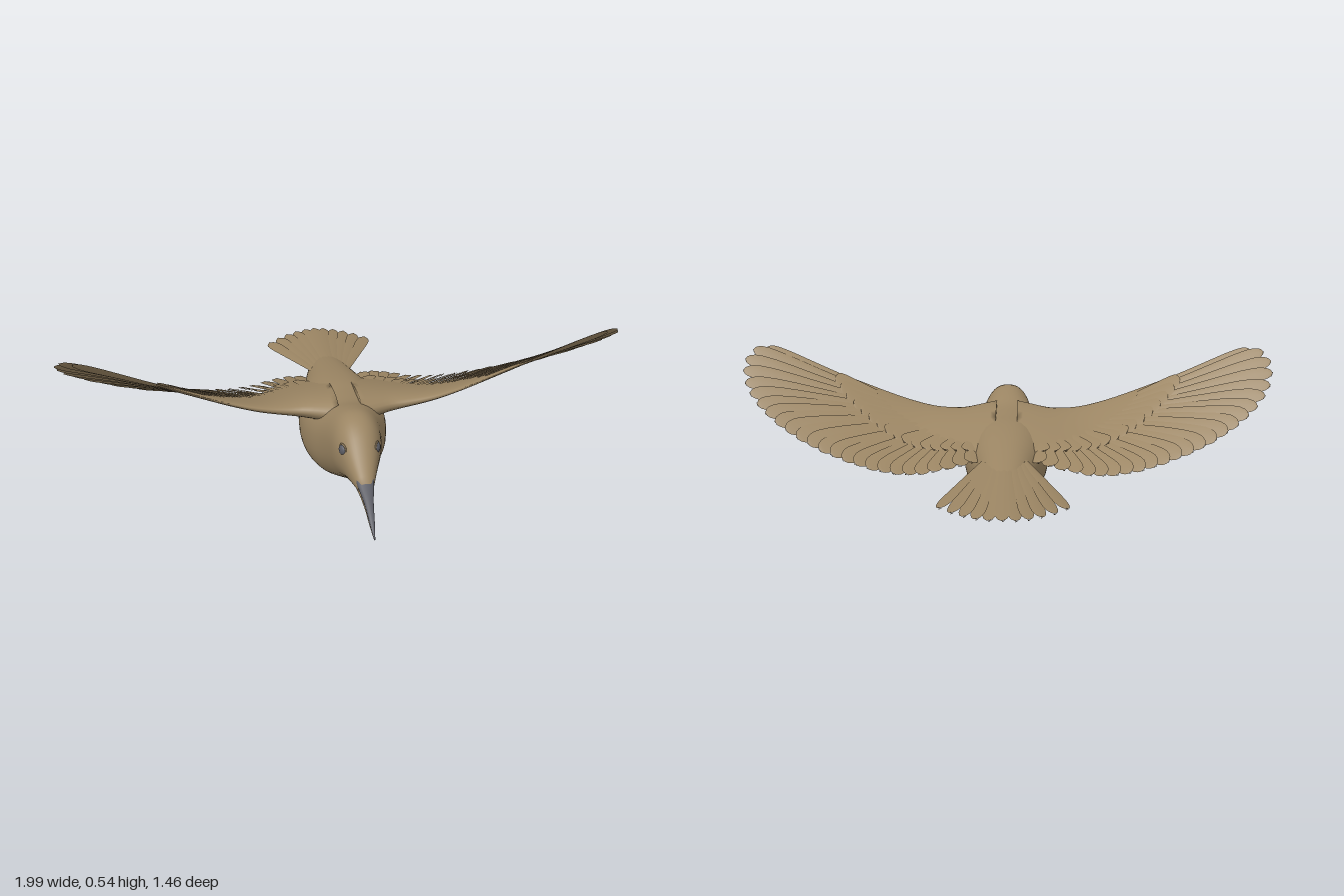
import * as THREE from 'three';
import { mergeGeometries } from 'three/addons/utils/BufferGeometryUtils.js';

const plumage = new THREE.MeshStandardMaterial({ name: 'tan plumage', color: 0x9b8563 });
const slate = new THREE.MeshStandardMaterial({ name: 'slate grey', color: 0x5b5c64 });

// Smooth interpolation through rows of [position, value, value...]
function spline(rows) {
  const n = rows[0].length - 1;
  const c = new THREE.CubicInterpolant(rows.map(r => r[0]), rows.flatMap(r => r.slice(1)), n);
  return t => [...c.evaluate(t)];
}

function indexed(pos, idx) {
  const g = new THREE.BufferGeometry();
  g.setAttribute('position', new THREE.Float32BufferAttribute(pos, 3));
  g.setIndex(idx);
  g.computeVertexNormals();
  return g;
}

// Skin a row of closed rings, smooth all round, with flat end caps
function loft(rings) {
  const m = rings[0].length, last = (rings.length - 1) * m, idx = [];
  for (let i = 0; i < rings.length - 1; i++) {
    for (let j = 0; j < m; j++) {
      const a = i * m + j, b = i * m + (j + 1) % m;
      idx.push(a, b, b + m, a, b + m, a + m);
    }
  }
  for (let j = 1; j < m - 1; j++) idx.push(0, j + 1, j, last, last + j, last + j + 1);
  return indexed(rings.flat(2), idx);
}

// Slightly squared elliptical rings along z from a profile giving [top, bottom, half width]
const full = v => Math.sign(v) * Math.abs(v) ** 0.9;
function ellipseLoft(profile, z0, z1, steps, sides) {
  const rings = [];
  for (let i = 0; i <= steps; i++) {
    const z = z0 + (z1 - z0) * i / steps, [top, bottom, w] = profile(z), ring = [];
    for (let j = 0; j < sides; j++) {
      const a = j / sides * Math.PI * 2;
      ring.push([w * full(Math.cos(a)), (top + bottom) / 2 + (top - bottom) / 2 * full(Math.sin(a)), z]);
    }
    rings.push(ring);
  }
  return loft(rings);
}

// One thin, ridged, round-ended feather lying on the height field h(x, z)
const STEPS = [0, 0.2, 0.4, 0.6, 0.75, 0.86, 0.92, 0.96, 0.985, 1];
function feather(base, tip, width, h, lift, tilt) {
  const d = tip.clone().sub(base).normalize(), sheets = [];
  for (const side of [1, -1]) {
    const pos = [], idx = [];
    STEPS.forEach((s, i) => {
      const round = s > 0.86 ? Math.sqrt(Math.max(0, 1 - ((s - 0.86) / 0.14) ** 2)) : 1;
      const w = width * (0.5 + 0.5 * Math.min(1, s * 1.3)) * round;
      const p = base.clone().lerp(tip, s);
      for (const j of [-1, 0, 1]) {
        const x = p.x - d.y * w * j, z = p.y + d.x * w * j;
        pos.push(x, h(x, z) + lift + tilt * j * w / width + side * (j ? 0.0008 : 0.004), z);
      }
      if (i === STEPS.length - 1) return;
      for (const j of [0, 1]) {
        const a = i * 3 + j, b = a + 1, c = a + 4, e = a + 3;
        if (side > 0) idx.push(a, b, c, a, c, e);
        else idx.push(a, c, b, a, e, c);
      }
    });
    sheets.push(indexed(pos, idx));
  }
  return mergeGeometries(sheets);
}

// A row of feathers between two curves in the x-z plane, widths given along the row
function featherRow(basePts, tipPts, count, width, h, lift, tilt) {
  const curve = pts => new THREE.SplineCurve(pts.map(p => new THREE.Vector2(...p))).getSpacedPoints(count - 1);
  const bases = curve(basePts), tips = curve(tipPts);
  return mergeGeometries(bases.map((b, i) =>
    feather(b, tips[i], width(i / (count - 1)), h, lift + (i % 2) * 0.0015, tilt)));
}

function mirrored(geometry) {
  const g = geometry.clone().scale(-1, 1, 1), a = g.index.array;
  for (let i = 0; i < a.length; i += 3) [a[i + 1], a[i + 2]] = [a[i + 2], a[i + 1]];
  g.computeVertexNormals();
  return g;
}

export function createModel() {
  const model = new THREE.Group();
  model.name = 'bird';
  const add = (name, geometry, material, parent = model) => {
    const mesh = new THREE.Mesh(geometry, material);
    mesh.name = name;
    parent.add(mesh);
  };

  // Head and body in one smooth skin: z, top, bottom, half width
  const bodyProfile = spline([
    [-0.52, 0.206, 0.196, 0.003], [-0.5, 0.213, 0.188, 0.016], [-0.4, 0.234, 0.153, 0.055],
    [-0.3, 0.256, 0.119, 0.085], [-0.2, 0.277, 0.078, 0.11], [-0.1, 0.295, 0.037, 0.137],
    [0, 0.307, 0.008, 0.155], [0.1, 0.311, 0, 0.156], [0.2, 0.32, 0.02, 0.137],
    [0.28, 0.342, 0.056, 0.11], [0.35, 0.354, 0.092, 0.092], [0.4, 0.343, 0.12, 0.082],
    [0.45, 0.312, 0.14, 0.066], [0.507, 0.256, 0.153, 0.046], [0.57, 0.203, 0.158, 0.024],
  ]);
  add('body', ellipseLoft(bodyProfile, -0.52, 0.57, 56, 40), plumage);

  // Beak, drooping slightly towards the tip
  const beak = spline([
    [0.52, 0.235, 0.16, 0.036], [0.57, 0.201, 0.155, 0.026], [0.62, 0.172, 0.135, 0.016],
    [0.68, 0.132, 0.108, 0.009], [0.73, 0.092, 0.086, 0.002],
  ]);
  const part = (from, to, widen) => z => {
    const [t, b, w] = beak(z);
    return [b + (t - b) * to, b + (t - b) * from, w * widen];
  };
  add('upperBeak', ellipseLoft(part(0.38, 1, 1), 0.535, 0.73, 14, 20), slate);
  add('lowerBeak', ellipseLoft(part(0, 0.7, 0.97), 0.52, 0.725, 14, 20), plumage);

  // Eyes with a soft lid ring
  for (const s of [1, -1]) {
    const eye = new THREE.Group();
    eye.name = s > 0 ? 'leftEye' : 'rightEye';
    eye.position.set(s * 0.058, 0.264, 0.445);
    eye.rotation.y = s * 1.15;
    add('eyeball', new THREE.SphereGeometry(0.019, 20, 14).scale(1, 1, 0.6), slate, eye);
    add('eyelid', new THREE.TorusGeometry(0.021, 0.003, 8, 24), plumage, eye);
    model.add(eye);
  }

  // Wing surface: leading edge height and the slope back from it, steeper towards the tip
  const wingCurve = spline([
    [0, 0.285, 0.11], [0.2, 0.293, 0.18], [0.33, 0.316, 0.29],
    [0.65, 0.43, 0.52], [0.93, 0.525, 0.68], [1.05, 0.55, 0.74],
  ]);
  const wingHeight = (x, z) => {
    const [lead, slope] = wingCurve(x);
    return lead - slope * (0.205 - z);
  };

  // Wing arm, an airfoil swelling into the shoulder: x, rear edge, front edge, thickness
  const armProfile = spline([
    [0.04, -0.17, 0.265, 0.07], [0.1, -0.15, 0.235, 0.062], [0.16, -0.135, 0.21, 0.05],
    [0.22, -0.115, 0.205, 0.038], [0.35, -0.06, 0.208, 0.023], [0.5, 0.02, 0.211, 0.014],
    [0.6, 0.1, 0.212, 0.01], [0.66, 0.185, 0.213, 0.005],
  ]);
  const rings = [];
  for (let i = 0; i <= 30; i++) {
    const x = 0.04 + 0.62 * i / 30, [rear, front, thick] = armProfile(x), ring = [];
    for (let j = 0; j < 28; j++) {
      const a = j / 28 * Math.PI * 2, u = (Math.sin(a) + 1) / 2, z = rear + (front - rear) * u;
      ring.push([x, wingHeight(x, z) + Math.cos(a) * thick * (0.3 + 0.7 * u), z]);
    }
    rings.push(ring);
  }

  // Slim, separated primaries give way to broad secondaries
  const wingParts = {
    arm: loft(rings),
    flightFeathers: featherRow(
      [[0.56, 0.19], [0.54, 0.13], [0.47, 0.08], [0.36, 0.03], [0.24, 0], [0.11, -0.02]],
      [[0.93, 0.212], [0.98, 0.19], [0.998, 0.125], [0.96, 0.03], [0.86, -0.06], [0.7, -0.14],
        [0.5, -0.21], [0.32, -0.245], [0.2, -0.25], [0.12, -0.225]],
      25, t => 0.019 + 0.01 * THREE.MathUtils.smoothstep(t, 0.15, 0.45), wingHeight, 0, 0.009),
    coverts: featherRow(
      [[0.5, 0.17], [0.42, 0.09], [0.32, 0.04], [0.2, 0], [0.1, -0.02]],
      [[0.66, 0.175], [0.61, 0.11], [0.5, 0.015], [0.39, -0.06], [0.27, -0.115], [0.14, -0.15]],
      16, () => 0.027, wingHeight, 0.009, 0.005),
  };
  for (const s of [1, -1]) {
    const wing = new THREE.Group();
    wing.name = s > 0 ? 'leftWing' : 'rightWing';
    for (const [name, g] of Object.entries(wingParts)) add(name, s > 0 ? g : mirrored(g), plumage, wing);
    model.add(wing);
  }

  // Tail fan, highest along the middle
  const tailHeight = (x, z) => 0.203 + 0.08 * (z + 0.72) - 0.15 * x * x;
  const tail = [];
  for (let i = -5; i <= 5; i++) {
    const u = i / 5;
    const base = new THREE.Vector2(0.065 * u, -0.24), tip = new THREE.Vector2(0.204 * u, -0.73 + 0.115 * u * u);
    tail.push(feather(base, tip, 0.025, tailHeight, 0.008 * (1 - Math.abs(u)), -0.004 * Math.sign(u)));
  }
  add('tail', mergeGeometries(tail), plumage);
  return model;
}
